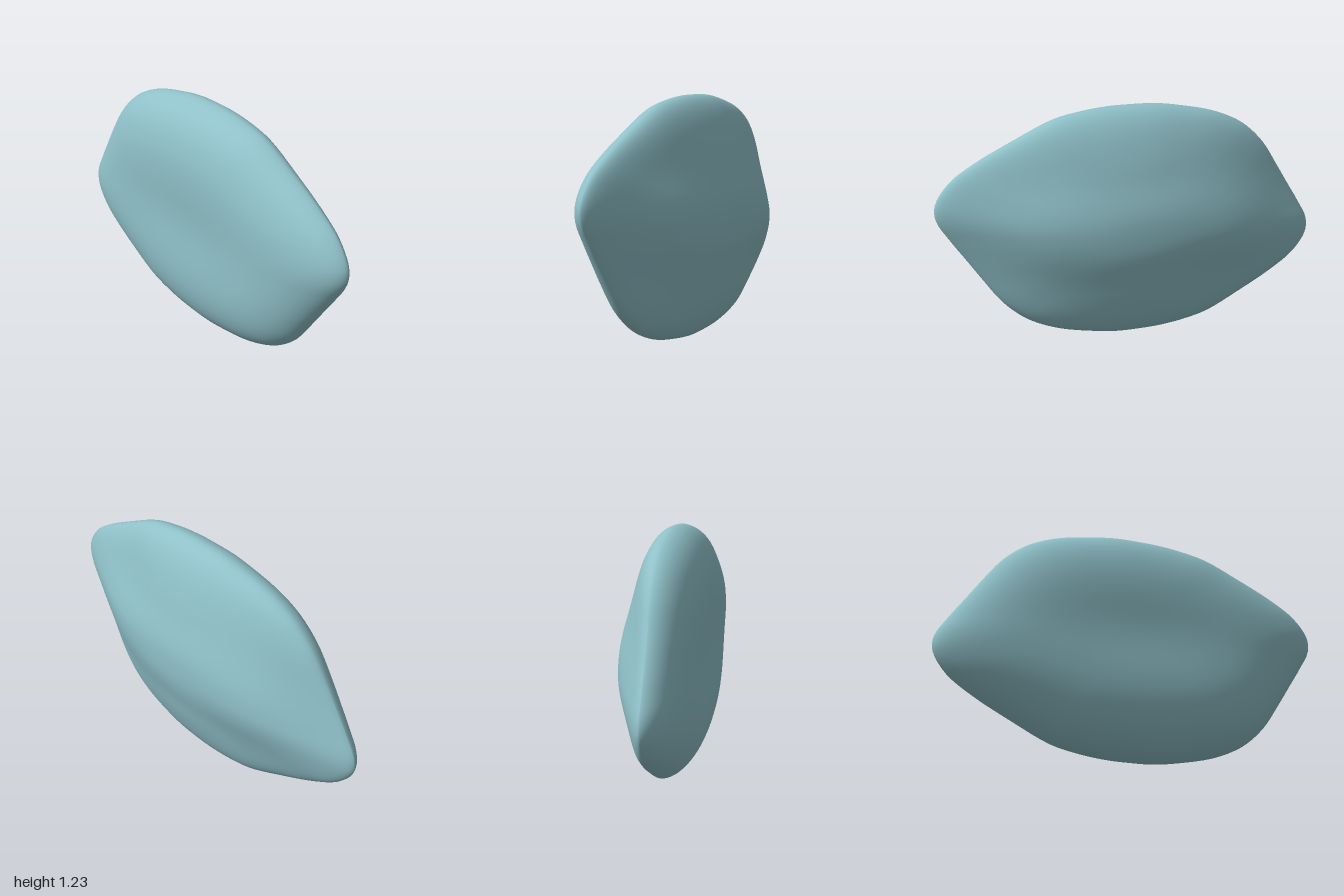
import * as THREE from 'three';

const MID = 0.616; // height of the centre, and half the height

// Half of the rim, from top centre clockwise to the bottom; the other half is this turned 180 degrees
const HALF_RIM = [
  [0, 1.232], [0.14, 1.229], [0.28, 1.212], [0.41, 1.182], [0.6, 1.093], [0.8, 0.988],
  [0.925, 0.9], [0.997, 0.795], [0.997, 0.715], [0.94, 0.61], [0.87, 0.5], [0.8, 0.39],
  [0.705, 0.25], [0.61, 0.158], [0.53, 0.108], [0.41, 0.06], [0.25, 0.024], [0.12, 0.004],
];

function rimPoints() {
  const half = HALF_RIM.map(([x, y]) => new THREE.Vector3(x, y - MID, 0));
  const all = [...half, ...half.map((p) => p.clone().negate())].reverse();
  const count = all.length * 4;
  return new THREE.CatmullRomCurve3(all, true).getPoints(count).slice(0, count);
}

// Depth of the surface at fraction rho of the way out to the rim; w is 1 toward the tips, 0 at top and bottom
function depth(x, y, rho, w, front) {
  const rim = 0.025 + 0.03 * w;
  if (front) {
    // Broad, nearly flat face with a shallow lengthwise hollow
    const bulge = (0.2 - 0.03 * w) * (1 - rho ** 4) ** 0.58;
    const hollow = 0.02 * Math.exp(-((y / 0.22) ** 2) - (x / 0.8) ** 2);
    return rim + bulge - hollow;
  }
  // Rounded edge plus a central hump that runs out thinly toward both tips
  const edge = (0.185 - 0.085 * w) * Math.sqrt(1 - rho ** 2.5);
  const hump = (0.055 + 0.115 * w) * Math.exp(-((rho / (0.45 + 0.31 * w)) ** (2 + w)));
  return rim - edge - hump * (1 - rho ** 8);
}

function bodyGeometry(rings = 64) {
  const rim = rimPoints();
  const around = rim.length;
  const pos = [0, MID, depth(0, 0, 0, 0.5, true)];
  const index = [];

  // Rings from the middle of the front, over the rim, to the middle of the back
  for (let j = 1; j < rings; j++) {
    const rho = Math.min(1, Math.sin((Math.PI * j) / rings));
    for (const p of rim) {
      // Inner rings ease from an ellipse to the shape of the rim
      const reach = Math.hypot(p.x, p.y / MID);
      const scale = rho * THREE.MathUtils.lerp(1 / reach, 1, rho);
      const x = p.x * scale, y = p.y * scale;
      const axis = (p.x / reach) ** 2;
      const w = 0.5 + (axis - 0.5) * THREE.MathUtils.smoothstep(rho, 0, 0.6);
      pos.push(x, y + MID, depth(x, y, rho, w, j <= rings / 2));
    }
  }
  const last = pos.length / 3;
  pos.push(0, MID, depth(0, 0, 0, 0.5, false));

  const id = (j, i) => 1 + (j - 1) * around + (i % around);
  for (let i = 0; i < around; i++) {
    index.push(0, id(1, i), id(1, i + 1));
    for (let j = 1; j < rings - 1; j++) {
      const a = id(j, i), b = id(j, i + 1), c = id(j + 1, i), d = id(j + 1, i + 1);
      index.push(a, c, d, a, d, b);
    }
    index.push(last, id(rings - 1, i + 1), id(rings - 1, i));
  }

  const geo = new THREE.BufferGeometry();
  geo.setAttribute('position', new THREE.Float32BufferAttribute(pos, 3));
  geo.setIndex(index);
  geo.computeVertexNormals();
  return geo;
}

export function createModel() {
  const group = new THREE.Group();
  group.name = 'pebble';
  const body = new THREE.Mesh(bodyGeometry(), new THREE.MeshStandardMaterial({ color: 0x8fc0c8 }));
  body.name = 'body';
  group.add(body);
  return group;
}
